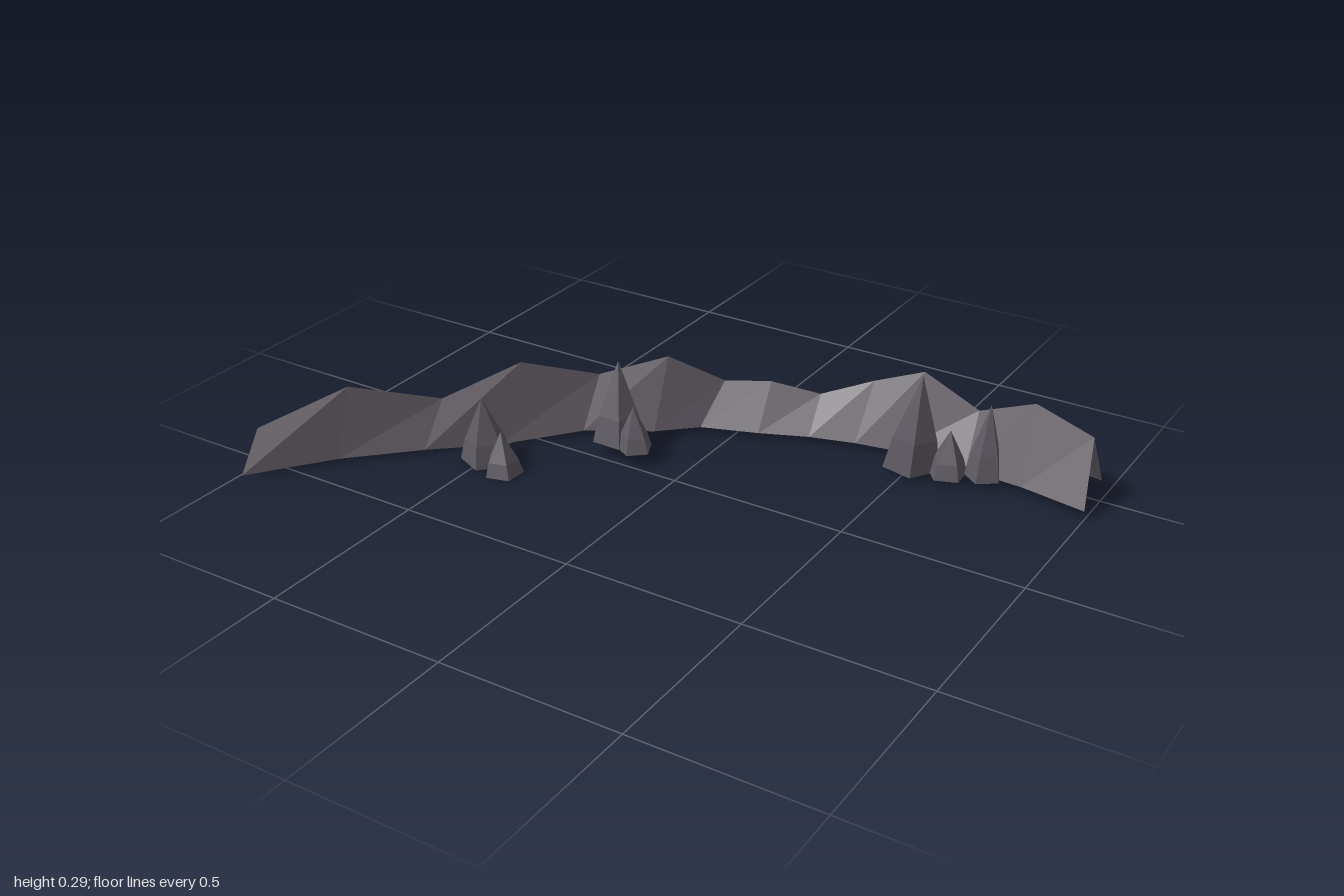
import * as THREE from 'three';

// Ridge stations: back edge (x, z), crest (x, y, z), front edge (x, z), base height
const stations = [
  [-1.0, 0.43, -0.99, 0.12, 0.525, -0.98, 0.61, 0.017],
  [-0.835, 0.225, -0.84, 0.2, 0.325, -0.825, 0.4, 0.017],
  [-0.665, 0.05, -0.66, 0.138, 0.148, -0.66, 0.235, 0.017],
  [-0.5, -0.11, -0.51, 0.22, -0.016, -0.52, 0.085, 0.006],
  [-0.35, -0.25, -0.35, 0.165, -0.164, -0.35, -0.08, 0.024],
  [-0.19, -0.36, -0.19, 0.217, -0.27, -0.18, -0.18, 0.025],
  [-0.065, -0.45, -0.06, 0.14, -0.36, -0.085, -0.27, 0.025],
  [0.07, -0.505, 0.06, 0.148, -0.41, 0.07, -0.325, 0.025],
  [0.19, -0.555, 0.19, 0.122, -0.46, 0.2, -0.38, 0.025],
  [0.32, -0.595, 0.33, 0.18, -0.505, 0.325, -0.415, 0.025],
  [0.455, -0.61, 0.47, 0.235, -0.525, 0.445, -0.435, 0.025],
  [0.63, -0.61, 0.635, 0.162, -0.525, 0.645, -0.435, 0.026],
  [0.8, -0.595, 0.8, 0.235, -0.505, 0.81, -0.42, 0.029],
  [0.98, -0.56, 0.975, 0.2, -0.47, 1.0, -0.38, 0.033],
];

// Rock spikes: name, base x, z, radius, base y, apex x, y, z, turn
const spikes = [
  ['westSpireTall', -0.495, 0.17, 0.073, 0.008, -0.49, 0.2, 0.19, 0.2],
  ['westSpireShort', -0.415, 0.205, 0.055, 0.006, -0.42, 0.125, 0.203, 0.9],
  ['middleSpireTall', -0.225, -0.07, 0.074, 0.042, -0.23, 0.27, -0.08, 0.6],
  ['middleSpireShort', -0.152, -0.04, 0.05, 0.042, -0.16, 0.165, -0.045, 0.1],
  ['eastSpireTall', 0.505, -0.395, 0.08, 0.02, 0.53, 0.298, -0.38, 0.4],
  ['eastSpireShort', 0.61, -0.395, 0.055, 0.022, 0.61, 0.15, -0.4, 1.0],
  ['eastSpireSlim', 0.7, -0.43, 0.052, 0.025, 0.7, 0.23, -0.445, 0],
];

function ridgeGeometry() {
  const position = [], index = [];
  stations.forEach(([bx, bz, cx, cy, cz, fx, fz, y], i) => {
    position.push(bx, y, bz, cx, cy, cz, fx, y, fz);
    if (i === 0) return;
    const a = (i - 1) * 3, b = i * 3;
    for (let k = 0; k < 2; k++) {
      index.push(a + k, a + k + 1, b + k, a + k + 1, b + k + 1, b + k);
    }
  });
  const indexed = new THREE.BufferGeometry();
  indexed.setAttribute('position', new THREE.Float32BufferAttribute(position, 3));
  indexed.setIndex(index);
  const geometry = indexed.toNonIndexed();
  geometry.computeVertexNormals();
  return geometry;
}

// Five-sided cone, slightly swollen at mid height and leaning towards its apex
function spikeGeometry(r, height, leanX, leanZ, turn) {
  const geometry = new THREE.ConeGeometry(r, height, 5, 3).toNonIndexed();
  geometry.rotateY(turn);
  geometry.translate(0, height / 2, 0);
  const p = geometry.attributes.position;
  for (let i = 0; i < p.count; i++) {
    const t = p.getY(i) / height;
    const swell = t > 0.01 && t < 0.99 ? 1.16 : 1;
    p.setX(i, p.getX(i) * swell + leanX * t);
    p.setZ(i, p.getZ(i) * swell + leanZ * t);
  }
  geometry.computeVertexNormals();
  return geometry;
}

export function createModel() {
  const model = new THREE.Group();
  model.name = 'rockyRidge';
  const ridgeRock = new THREE.MeshStandardMaterial({
    name: 'ridgeRock', color: 0x5a545c, flatShading: true, side: THREE.DoubleSide,
  });
  const spireRock = new THREE.MeshStandardMaterial({
    name: 'spireRock', color: 0x5e5a62, flatShading: true,
  });

  // Long curved ridge, open underneath and at both ends
  const ridge = new THREE.Mesh(ridgeGeometry(), ridgeRock);
  ridge.name = 'ridge';
  model.add(ridge);

  // Clusters of pointed rocks in front of the ridge
  for (const [name, x, z, r, y, ax, ay, az, turn] of spikes) {
    const spire = new THREE.Mesh(spikeGeometry(r, ay - y, ax - x, az - z, turn), spireRock);
    spire.name = name;
    spire.position.set(x, y, z);
    model.add(spire);
  }
  return model;
}
